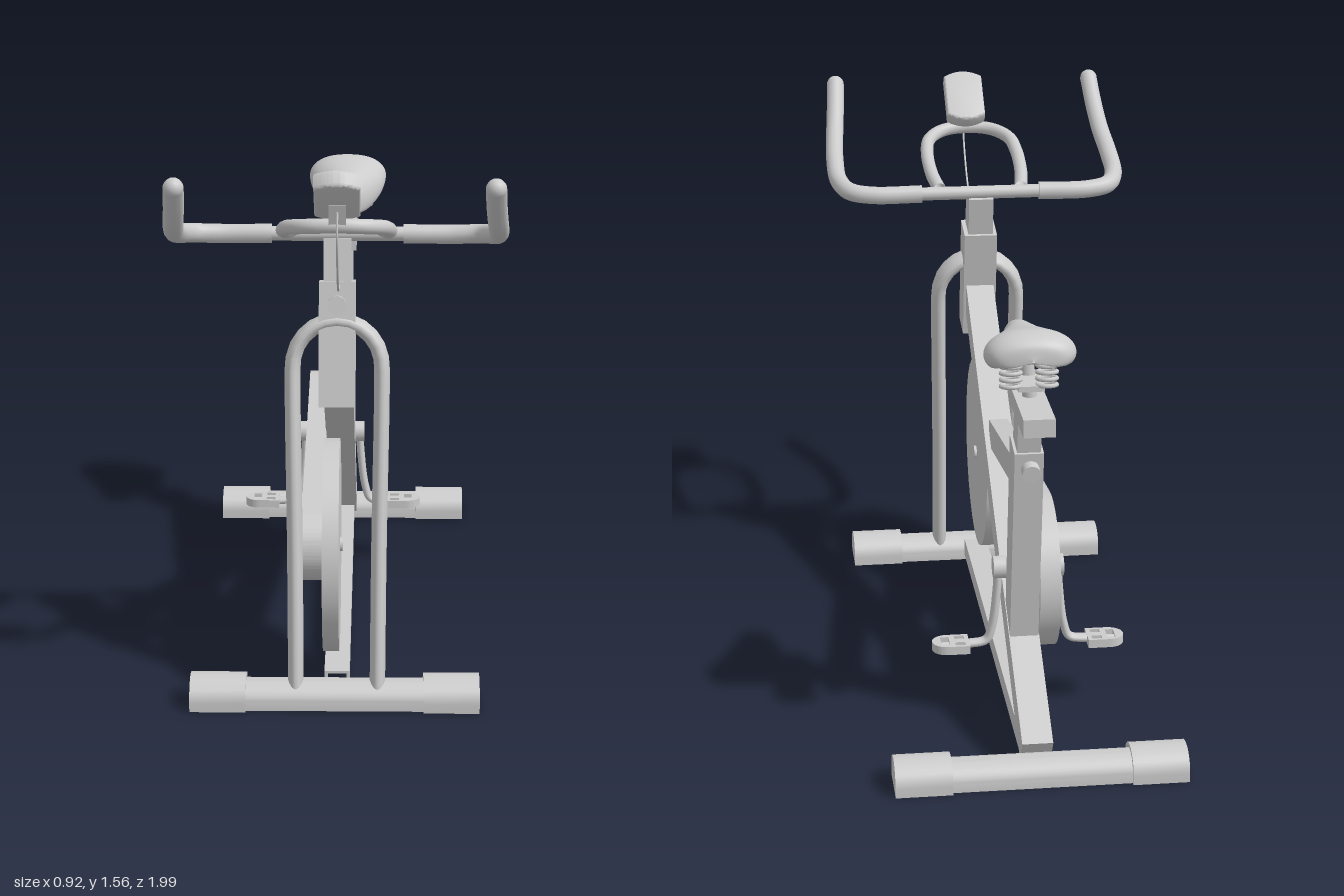
import * as THREE from 'three';
import { toCreasedNormals } from 'three/addons/utils/BufferGeometryUtils.js';
import { ParametricGeometry } from 'three/addons/geometries/ParametricGeometry.js';

const V = (x, y, z) => new THREE.Vector3(x, y, z);
const CX = 0.005; // frame centre line

export function createModel() {
  const model = new THREE.Group();
  model.name = 'exerciseBike';
  const grey = new THREE.MeshStandardMaterial({ color: 0xcccccc, side: THREE.DoubleSide });

  const add = (name, geometry, parent = model) => {
    const mesh = new THREE.Mesh(geometry, grey);
    mesh.name = name;
    parent.add(mesh);
    return mesh;
  };
  // Square bar between two [z, y] points
  const beam = (name, a, b, width, thick, x = CX) => {
    const dz = b[0] - a[0], dy = b[1] - a[1];
    const m = add(name, new THREE.BoxGeometry(width, thick, Math.hypot(dz, dy)));
    m.position.set(x, (a[1] + b[1]) / 2, (a[0] + b[0]) / 2);
    m.rotation.x = -Math.atan2(dy, dz);
    return m;
  };
  // Round rod between two points
  const rod = (name, a, b, r, parent = model) => {
    const d = b.clone().sub(a);
    const m = add(name, new THREE.CylinderGeometry(r, r, d.length(), 28), parent);
    m.position.copy(a).add(b).multiplyScalar(0.5);
    m.quaternion.setFromUnitVectors(V(0, 1, 0), d.normalize());
    return m;
  };
  // Bent tube through points, with round ends when asked
  const tube = (name, pts, r, parent = model, roundEnd = false) => {
    const curve = new THREE.CatmullRomCurve3(pts, false, 'centripetal');
    const m = add(name, new THREE.TubeGeometry(curve, 64, r, 14), parent);
    if (roundEnd) add(name + 'End', new THREE.SphereGeometry(r, 16, 10), parent).position.copy(pts.at(-1));
    return m;
  };
  const extrude = (shape, depth, bevel = 0) => toCreasedNormals(new THREE.ExtrudeGeometry(shape, {
    depth, curveSegments: 32, bevelEnabled: bevel > 0, bevelSize: bevel, bevelThickness: bevel, bevelOffset: -bevel, bevelSegments: 3,
  }), 0.6);
  // Extrude a (z, y) outline along x from x0 to x1
  const sideExtrude = (name, shape, x0, x1, z = 0) => {
    const m = add(name, extrude(shape, x1 - x0));
    m.rotation.y = -Math.PI / 2;
    m.position.set(x1, 0, z);
    return m;
  };

  // Floor feet: domed shells, open underneath, with end caps
  const dome = (w, h) => Array.from({ length: 21 }, (_, i) => {
    const a = Math.PI * (1 - i / 20);
    return new THREE.Vector2(w * Math.cos(a), h * (0.3 + 0.7 * Math.sin(a)));
  });
  const solid = (w, h) => [new THREE.Vector2(-w, 0), ...dome(w, h), new THREE.Vector2(w, 0)];
  const shell = (w, h, t) => new THREE.Shape([...solid(w, h), ...solid(w - t, h - t).reverse()]);
  for (const [name, z] of [['front', 0.69], ['rear', -0.928]]) {
    sideExtrude(name + 'FootBar', shell(0.06, 0.07, 0.008), -0.38, 0.38, z);
    for (const s of [-1, 1]) {
      sideExtrude(name + 'FootCap', shell(0.072, 0.085, 0.01), s > 0 ? 0.245 : -0.4, s > 0 ? 0.4 : -0.245, z);
      sideExtrude(name + 'FootCapEnd', new THREE.Shape(solid(0.072, 0.085)), s > 0 ? 0.392 : -0.4, s > 0 ? 0.4 : -0.392, z);
    }
  }

  // Floor rail: channel open underneath
  const rail = new THREE.Shape([[-0.035, 0.015], [-0.035, 0.07], [0.035, 0.07], [0.035, 0.015], [0.027, 0.015],
    [0.027, 0.062], [-0.027, 0.062], [-0.027, 0.015]].reverse().map(p => new THREE.Vector2(...p)));
  add('floorRail', extrude(rail, 1.51)).position.set(CX, 0, -0.88);

  // Main frame
  beam('mainBeam', [0.5, 0.945], [-0.89, 0.06], 0.085, 0.085);
  beam('seatTube', [-0.56, 0.27], [-0.66, 0.87], 0.08, 0.11);
  beam('seatPost', [-0.655, 0.84], [-0.69, 0.99], 0.065, 0.09);
  beam('upperStrut', [-0.62, 0.765], [-0.01, 0.67], 0.055, 0.08);
  beam('headTube', [0.565, 0.825], [0.497, 1.16], 0.1, 0.112);
  beam('handlebarStem', [0.5, 1.14], [0.472, 1.275], 0.075, 0.088);

  // Fork: flattened tube bent into an arch
  const arch = [V(-0.113, 0, 0), V(-0.116, 0.4, 0), V(-0.122, 0.8, 0)];
  for (let i = 0; i <= 12; i++) {
    const a = Math.PI * (1 - i / 12);
    arch.push(V(0.122 * Math.cos(a), 0.9 + 0.125 * Math.sin(a), 0));
  }
  arch.push(V(0.122, 0.8, 0), V(0.116, 0.4, 0), V(0.113, 0, 0));
  const fork = tube('fork', arch, 0.022);
  fork.scale.z = 2.1;
  fork.position.set(CX, 0.045, 0.687);
  fork.rotation.x = -0.15;

  // Flywheel and chain guard
  rod('flywheel', V(-0.033, 0.41, 0.53), V(0.012, 0.41, 0.53), 0.298);
  rod('flywheelAxle', V(-0.09, 0.41, 0.53), V(0.02, 0.41, 0.53), 0.02);
  const guard = new THREE.Shape();
  const t = Math.acos(0.125);
  guard.absarc(0.53, 0.41, 0.1, -t, t, false);
  guard.absarc(-0.43, 0.41, 0.22, t, 2 * Math.PI - t, false);
  const slot = new THREE.Path();
  slot.moveTo(0.05, 0.475);
  slot.bezierCurveTo(0.14, 0.462, 0.14, 0.41, 0.05, 0.38);
  slot.lineTo(-0.15, 0.32);
  slot.quadraticCurveTo(-0.18, 0.315, -0.18, 0.345);
  slot.lineTo(-0.18, 0.485);
  slot.quadraticCurveTo(-0.18, 0.51, -0.155, 0.506);
  guard.holes.push(slot);
  sideExtrude('chainGuard', guard, -0.095, -0.036);

  // Cranks and pedals
  const pedal = new THREE.Shape();
  pedal.moveTo(0, -0.042);
  pedal.lineTo(0.06, -0.042);
  pedal.bezierCurveTo(0.12, -0.042, 0.12, 0.042, 0.06, 0.042);
  pedal.lineTo(0, 0.042);
  const hole = (x0, x1, z0, z1) => pedal.holes.push(new THREE.Path(
    [[x0, z0], [x0, z1], [x1, z1], [x1, z0]].map(p => new THREE.Vector2(...p))));
  hole(0.012, 0.04, -0.032, -0.012);
  hole(0.012, 0.04, 0.012, 0.032);
  hole(0.056, 0.08, -0.026, 0.026);
  for (const s of [1, -1]) {
    const crank = new THREE.Group();
    crank.name = s > 0 ? 'leftCrank' : 'rightCrank';
    rod('crankHub', V(0.035, 0.43, -0.463), V(0.075, 0.43, -0.463), 0.032, crank);
    const arm = tube('crankArm', [V(0.06, 0.43, 0), V(0.064, 0.36, 0), V(0.078, 0.25, 0), V(0.095, 0.208, 0), V(0.15, 0.198, 0)], 0.012, crank);
    arm.scale.z = 1.5;
    arm.position.z = -0.463;
    const plate = add('pedal', extrude(pedal, 0.025), crank);
    plate.rotation.x = Math.PI / 2;
    plate.position.set(0.145, 0.211, -0.468);
    rod('pedalSpindle', V(0.14, 0.198, -0.468), V(0.23, 0.198, -0.468), 0.009, crank);
    crank.scale.x = s;
    crank.position.x = s > 0 ? 0 : -0.05;
    model.add(crank);
  }
  rod('crankAxle', V(-0.1, 0.43, -0.463), V(0.05, 0.43, -0.463), 0.018);

  // Handlebar: centre bar, two grips, inner loop
  const bars = new THREE.Group();
  bars.name = 'handlebar';
  bars.position.x = CX;
  model.add(bars);
  rod('centreBar', V(-0.2, 1.283, 0.455), V(0.2, 1.283, 0.455), 0.02, bars);
  for (const s of [-1, 1]) {
    tube('grip', [[0.18, 1.283, 0.455], [0.33, 1.283, 0.457], [0.395, 1.29, 0.48], [0.425, 1.305, 0.55], [0.43, 1.34, 0.68],
      [0.422, 1.39, 0.81], [0.414, 1.45, 0.89], [0.408, 1.518, 0.965]].map(p => V(s * p[0], p[1], p[2])), 0.027, bars, true);
    add('gripCollar', new THREE.CylinderGeometry(0.027, 0.027, 0.01, 16).rotateZ(Math.PI / 2), bars).position.set(s * 0.185, 1.283, 0.455);
  }
  const half = [[0.125, 1.295, 0.46], [0.138, 1.315, 0.56], [0.14, 1.35, 0.7], [0.125, 1.375, 0.78], [0.075, 1.39, 0.835]];
  tube('innerLoop', [...half.map(p => V(...p)), V(0, 1.395, 0.85), ...half.map(p => V(-p[0], p[1], p[2])).reverse()], 0.02, bars);

  // Console: rounded slab tilted towards the rider, with bracket and cable
  const face = new THREE.Shape();
  face.moveTo(-0.06, -0.075);
  face.quadraticCurveTo(0, -0.115, 0.06, -0.075);
  face.lineTo(0.06, 0.075);
  face.quadraticCurveTo(0, 0.115, -0.06, 0.075);
  const display = add('console', extrude(face, 0.032, 0.008));
  display.rotation.x = Math.PI / 2 + Math.PI - 0.7;
  display.position.set(0.01, 1.468, 0.884);
  beam('consoleBracket', [0.85, 1.395], [0.87, 1.46], 0.045, 0.03, 0.01);
  tube('sensorCable', [V(0.01, 1.44, 0.89), V(0.01, 1.37, 0.9), V(0.01, 1.27, 0.83), V(0.01, 1.19, 0.71), V(0.01, 1.16, 0.55)], 0.003);

  // Adjusting knobs: thin shaft and round grip
  const knob = (name, a, b) => {
    rod(name + 'Shaft', a, b, 0.011);
    rod(name, a.clone().lerp(b, 0.7), b, 0.025);
  };
  knob('stemKnob', V(CX, 1.107, 0.53), V(CX, 1.122, 0.615));
  knob('postKnob', V(CX, 0.835, -0.66), V(CX, 0.82, -0.765));
  knob('sliderKnob', V(CX, 1.0, -0.785), V(CX, 0.95, -0.785));

  // Saddle support: slider, column and springs
  beam('saddleSlider', [-0.615, 1.005], [-0.915, 1.005], 0.085, 0.05);
  rod('saddleColumn', V(CX, 1.02, -0.72), V(0.015, 1.13, -0.72), 0.02);
  beam('saddleClamp', [-0.69, 1.085], [-0.83, 1.085], 0.07, 0.015, 0.015);
  for (const s of [-1, 1]) for (let i = 0; i < 4; i++) {
    const coil = add('saddleSpring', new THREE.TorusGeometry(0.026, 0.006, 8, 20));
    coil.rotation.x = Math.PI / 2 + 0.15;
    coil.position.set(0.02 + s * 0.048, 1.09 + i * 0.018, -0.81);
  }

  // Saddle: sections of [z, half width, top, bottom] from nose to tail
  const sections = [[-0.508, 0.003, 1.15, 1.135], [-0.515, 0.025, 1.17, 1.11], [-0.55, 0.04, 1.19, 1.085], [-0.61, 0.052, 1.205, 1.07],
    [-0.68, 0.08, 1.217, 1.065], [-0.75, 0.11, 1.232, 1.085], [-0.81, 0.122, 1.245, 1.115], [-0.855, 0.112, 1.24, 1.13],
    [-0.882, 0.08, 1.22, 1.145], [-0.892, 0.003, 1.185, 1.175]];
  const plan = new THREE.CatmullRomCurve3(sections.map(q => V(q[0], q[1], 0)), false, 'catmullrom');
  const rise = new THREE.CatmullRomCurve3(sections.map(q => V(q[2], q[3], 0)), false, 'catmullrom');
  add('saddle', new ParametricGeometry((u, v, out) => {
    const a = -2 * Math.PI * u, p = plan.getPoint(v), r = rise.getPoint(v);
    const c = Math.cos(a), s = Math.sin(a), h = (r.x - r.y) / 2;
    const hollow = s < 0 ? 0.7 * h * s * s * (1 - c * c) : 0; // underside lifts in the middle
    out.set(0.018 + p.y * Math.sign(c) * Math.abs(c) ** 0.85, (r.x + r.y) / 2 + h * s + hollow, p.x);
  }, 40, 50));

  return model;
}
